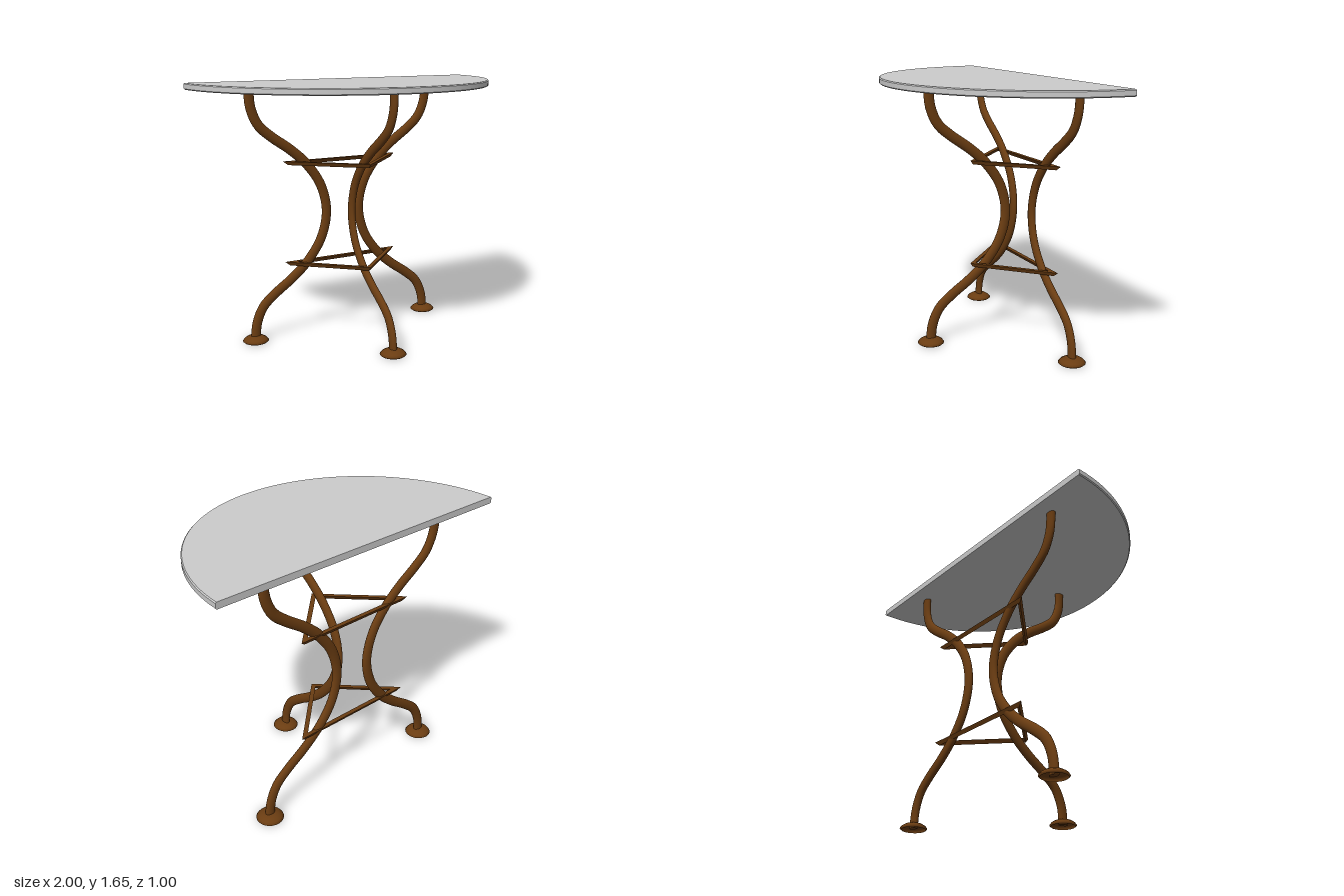
import * as THREE from 'three';
import { toCreasedNormals } from 'three/addons/utils/BufferGeometryUtils.js';

const V2 = (x, y) => new THREE.Vector2(x, y);

function addMesh(parent, name, geometry, material) {
  const mesh = new THREE.Mesh(geometry, material);
  mesh.name = name;
  parent.add(mesh);
  return mesh;
}

// Oval bar bent in an S and mirrored about mid height
function legGeometry() {
  const mid = 0.805;
  const lower = [[0.52, 0.01], [0.508, 0.12], [0.46, 0.225], [0.375, 0.3], [0.25, 0.387], [0.14, 0.485], [0.04, 0.63]];
  const upper = lower.map(([x, y]) => [x, 2 * mid - y]).reverse();
  const points = [...lower, [0, mid], ...upper].map(([x, y]) => new THREE.Vector3(x, y, 0));
  points[points.length - 1].y = 1.615;
  const curve = new THREE.CatmullRomCurve3(points, false, 'centripetal');
  return new THREE.TubeGeometry(curve, 64, 0.032, 16).scale(1, 1, 0.66);
}

// Triangular frame: each ring is the outer triangle inset evenly towards its incentre
function frameGeometry() {
  const inRadius = 0.1654, centreZ = -0.2496;
  const corners = [[0.41, -0.415], [-0.41, -0.415], [0, -0.02]];
  const section = [[0, 0.012], [0.012, -0.012], [0.027, 0.012]]; // inset, height
  const at = (c, s) => {
    const [x, z] = corners[c % 3], [inset, y] = section[s % 3];
    const k = 1 - inset / inRadius;
    return [x * k, y, centreZ + (z - centreZ) * k];
  };
  const positions = [];
  for (let c = 0; c < 3; c++) {
    for (let s = 0; s < 3; s++) {
      const a = at(c, s), b = at(c + 1, s), d = at(c + 1, s + 1), e = at(c, s + 1);
      positions.push(...a, ...e, ...b, ...b, ...e, ...d);
    }
  }
  const geometry = new THREE.BufferGeometry();
  geometry.setAttribute('position', new THREE.Float32BufferAttribute(positions, 3));
  geometry.computeVertexNormals();
  return geometry;
}

export function createModel() {
  const model = new THREE.Group();
  model.name = 'halfRoundTable';
  const stone = new THREE.MeshStandardMaterial({ color: 0xcccccc });
  const iron = new THREE.MeshStandardMaterial({ color: 0x6b3d12, side: THREE.DoubleSide });

  // Half-round top with a softened rim and a flat back edge
  const top = new THREE.Group();
  top.name = 'tableTop';
  top.position.z = -0.5;
  model.add(top);
  const profile = [V2(0, 1.61), V2(0.994, 1.61), V2(1, 1.616), V2(1, 1.644), V2(0.994, 1.65), V2(0, 1.65)];
  const slab = new THREE.LatheGeometry(profile, 64, -Math.PI / 2, Math.PI);
  addMesh(top, 'topSlab', toCreasedNormals(slab, 0.5), stone);
  const backOutline = [...profile, ...profile.map((p) => V2(-p.x, p.y)).reverse()];
  const back = new THREE.ShapeGeometry(new THREE.Shape(backOutline)).rotateY(Math.PI);
  addMesh(top, 'topBackEdge', back, stone);

  // Three legs, each with a hollow domed foot
  const leg = legGeometry();
  const foot = new THREE.LatheGeometry(
    [V2(0.074, 0), V2(0.083, 0.008), V2(0.072, 0.022), V2(0.052, 0.034), V2(0.03, 0.04), V2(0, 0.041)], 24);
  const legEnd = new THREE.CircleGeometry(0.032, 16).scale(1, 0.66, 1).rotateX(Math.PI / 2);
  const placements = [
    ['leftLeg', 0.12, -0.387, 0],
    ['rightLeg', -0.12, -0.387, Math.PI],
    ['frontLeg', 0, -0.265, -Math.PI / 2],
  ];
  for (const [name, x, z, turn] of placements) {
    const group = new THREE.Group();
    group.name = name;
    group.position.set(x, 0, z);
    group.rotation.y = turn;
    model.add(group);
    addMesh(group, 'legBar', leg, iron);
    addMesh(group, 'foot', foot, iron).position.x = 0.52;
    addMesh(group, 'legEnd', legEnd, iron).position.set(0.52, 0.01, 0);
  }

  // Two triangular frames tying the legs together
  const frame = frameGeometry();
  addMesh(model, 'lowerBraceFrame', frame, iron).position.y = 0.478;
  addMesh(model, 'upperBraceFrame', frame, iron).position.y = 1.135;

  return model;
}
